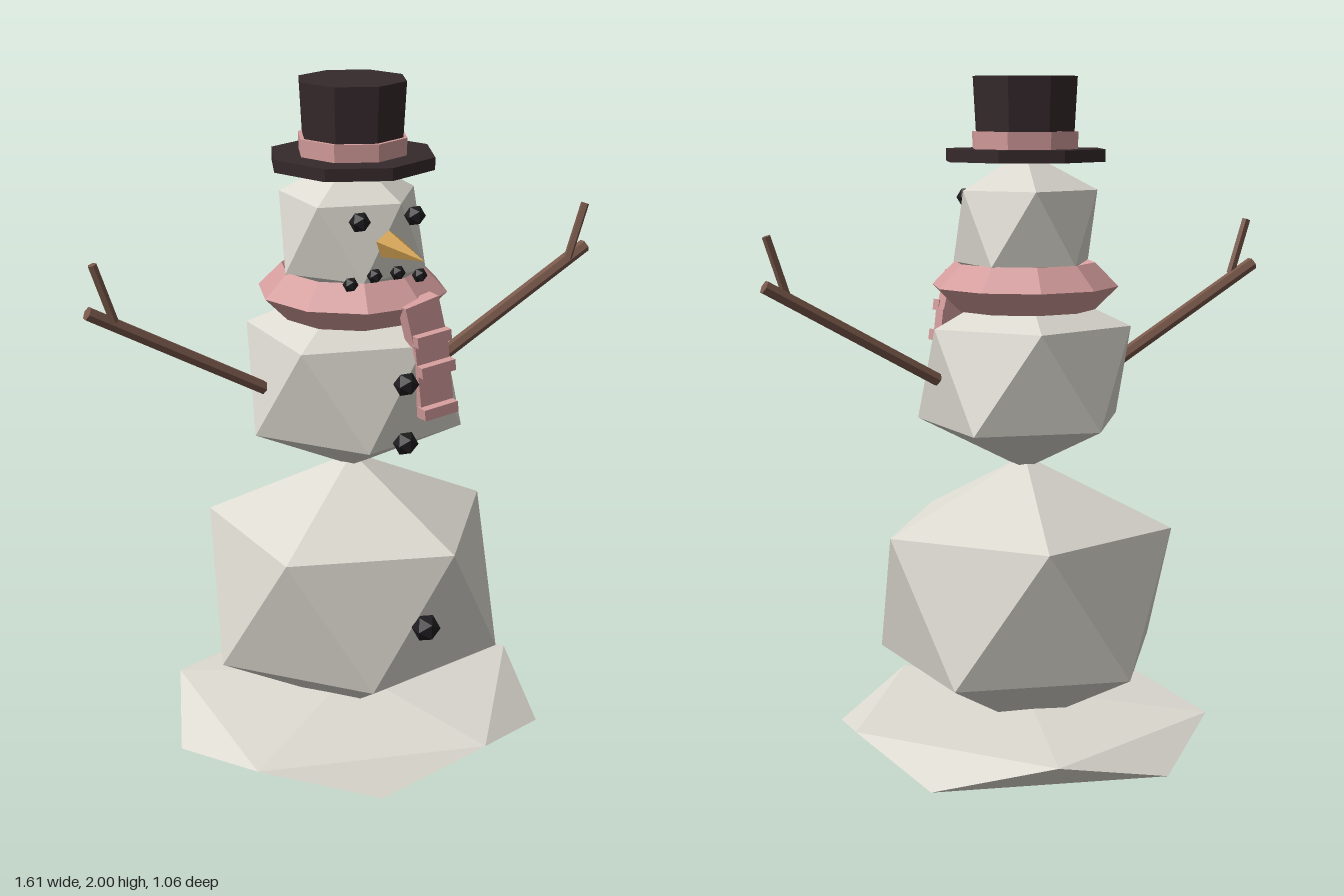
import * as THREE from 'three';

const material = (name, color) => {
  const m = new THREE.MeshStandardMaterial({ color, flatShading: true });
  m.name = name;
  return m;
};

// Faceted snowball: two poles and two staggered rings of five slightly uneven points
function snowball(bottom, low, high, top, lowRadii, highRadii) {
  const points = [0, top, 0];
  const ring = (radii, y, offset) => radii.forEach((r, k) => {
    const a = (k + offset) * Math.PI * 0.4;
    points.push(r * Math.cos(a), y, r * Math.sin(a));
  });
  ring(highRadii, high, 0);
  ring(lowRadii, low, 0.5);
  points.push(0, bottom, 0);
  const index = [];
  for (let k = 0; k < 5; k++) {
    const n = (k + 1) % 5;
    const u = 1 + k, u2 = 1 + n, l = 6 + k, l2 = 6 + n;
    index.push(0, u2, u, u, u2, l, l, u2, l2, 11, l, l2);
  }
  const g = new THREE.BufferGeometry();
  g.setAttribute('position', new THREE.Float32BufferAttribute(points, 3));
  g.setIndex(index);
  const flat = g.toNonIndexed();
  flat.computeVertexNormals();
  return flat;
}

// Cylinder between two points
function stick(a, b, radius, sides) {
  const from = new THREE.Vector3(...a), to = new THREE.Vector3(...b);
  const dir = to.clone().sub(from);
  const g = new THREE.CylinderGeometry(radius, radius, dir.length(), sides);
  g.applyQuaternion(new THREE.Quaternion().setFromUnitVectors(new THREE.Vector3(0, 1, 0), dir.normalize()));
  const mid = from.add(to).multiplyScalar(0.5);
  return g.translate(mid.x, mid.y, mid.z);
}

export function createModel() {
  const model = new THREE.Group();
  model.name = 'snowman';
  const snow = material('snow', 0xdcd9d0);
  const wool = material('pink wool', 0xd49c9c);
  const felt = material('dark felt', 0x35292b);
  const wood = material('brown wood', 0x78584a);
  const carrot = material('carrot', 0xc8994f);
  const coal = material('coal', 0x1e1c1e);

  const add = (name, geometry, mat, x = 0, y = 0, z = 0, parent = model) => {
    const mesh = new THREE.Mesh(geometry, mat);
    mesh.name = name;
    mesh.position.set(x, y, z);
    parent.add(mesh);
    return mesh;
  };

  // Snow
  add('snowBase', snowball(0, 0.055, 0.135, 0.18,
    [0.57, 0.545, 0.57, 0.565, 0.58], [0.55, 0.545, 0.59, 0.545, 0.557]), snow);
  add('lowerBody', snowball(0.07, 0.3, 0.695, 0.9,
    [0.44, 0.38, 0.43, 0.42, 0.44], [0.435, 0.41, 0.41, 0.435, 0.41]), snow);
  add('upperBody', snowball(0.86, 1.005, 1.29, 1.43,
    [0.32, 0.3, 0.31, 0.3, 0.32], [0.29, 0.28, 0.31, 0.31, 0.28]), snow);
  add('head', snowball(1.36, 1.47, 1.68, 1.79,
    [0.21, 0.2, 0.21, 0.2, 0.21], [0.197, 0.19, 0.21, 0.21, 0.19]), snow);

  // Hat
  const hat = new THREE.Group();
  hat.name = 'hat';
  model.add(hat);
  add('hatBrim', new THREE.CylinderGeometry(0.24, 0.24, 0.035, 8), felt, 0, 1.778, 0, hat);
  add('hatCrown', new THREE.CylinderGeometry(0.157, 0.145, 0.21, 8), felt, 0, 1.895, 0, hat);
  add('hatBand', new THREE.CylinderGeometry(0.16, 0.158, 0.05, 8), wool, 0, 1.82, 0, hat);

  // Scarf ring and ribbed hanging tail
  const scarf = new THREE.Group();
  scarf.name = 'scarf';
  model.add(scarf);
  add('scarfRing', new THREE.TorusGeometry(0.205, 0.068, 4, 10).rotateX(Math.PI / 2), wool, 0, 1.404, 0, scarf);
  add('scarfTailTop', new THREE.BoxGeometry(0.106, 0.12, 0.05), wool, 0.088, 1.363, 0.252, scarf).rotation.z = 0.24;
  add('scarfTailEnd', new THREE.BoxGeometry(0.104, 0.23, 0.05), wool, 0.118, 1.197, 0.252, scarf).rotation.z = 0.12;
  for (const [x, y] of [[0.1, 1.32], [0.115, 1.23], [0.126, 1.105]]) {
    add('scarfRib', new THREE.BoxGeometry(0.107, 0.032, 0.04), wool, x, y, 0.285, scarf).rotation.z = 0.12;
  }

  // Face and coat buttons
  const lump = (name, x, y, z, r) => add(name, new THREE.IcosahedronGeometry(r, 0), coal, x, y, z);
  for (const s of [1, -1]) {
    lump(s > 0 ? 'leftEye' : 'rightEye', s * 0.085, 1.65, 0.21, 0.03);
    lump('mouthInner', s * 0.036, 1.493, 0.205, 0.022);
    lump('mouthOuter', s * 0.108, 1.476, 0.2, 0.022);
  }
  lump('topButton', 0, 1.21, 0.325, 0.036);
  lump('middleButton', 0, 1.037, 0.325, 0.036);
  lump('bottomButton', 0, 0.526, 0.455, 0.041);
  add('nose', new THREE.ConeGeometry(0.04, 0.2, 5).rotateY(Math.PI).rotateX(Math.PI / 2), carrot, 0, 1.58, 0.317);

  // Stick arms with one twig each
  for (const s of [1, -1]) {
    const arm = new THREE.Group();
    arm.name = s > 0 ? 'leftArm' : 'rightArm';
    model.add(arm);
    add('branch', stick([s * 0.28, 1.145, 0], [s * 0.795, 1.435, 0], 0.02, 6), wood, 0, 0, 0, arm);
    add('twig', stick([s * 0.725, 1.405, 0.014], [s * 0.78, 1.57, 0.014], 0.013, 5), wood, 0, 0, 0, arm);
  }
  return model;
}
